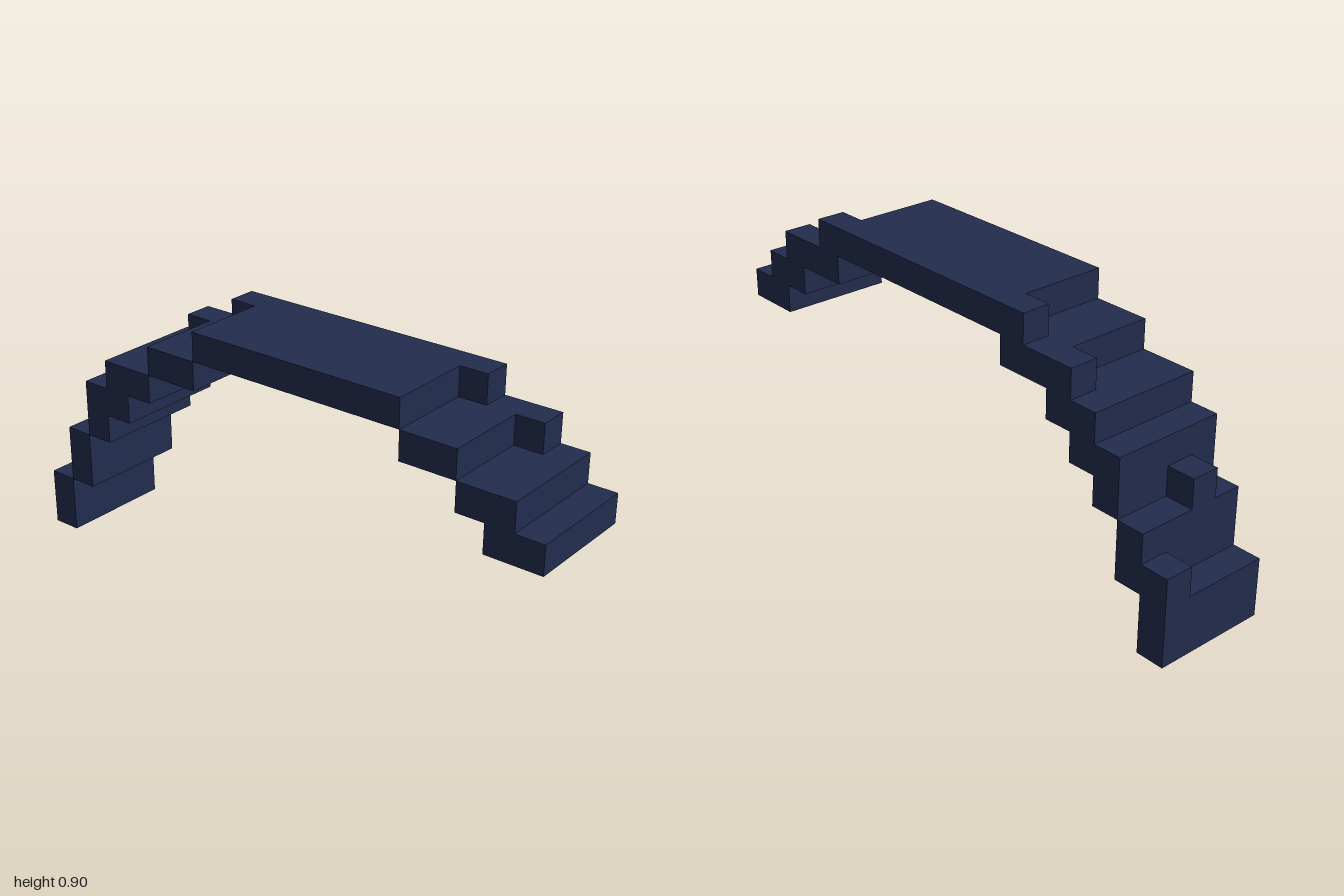
import * as THREE from 'three';

export function createModel() {
  const model = new THREE.Group();
  model.name = 'steppedArch';
  const navy = new THREE.MeshStandardMaterial({ color: 0x222c4d });
  navy.name = 'navy';

  // Box given by its limits along each axis
  function block(name, x0, x1, y0, y1, z0, z1) {
    const mesh = new THREE.Mesh(new THREE.BoxGeometry(x1 - x0, y1 - y0, z1 - z0), navy);
    mesh.position.set((x0 + x1) / 2, (y0 + y1) / 2, (z0 + z1) / 2);
    mesh.name = name;
    model.add(mesh);
  }

  // Full-depth steps along the arch: x0, x1, bottom, top
  const steps = [
    [-1, -0.9, 0, 0.2],
    [-0.9, -0.8, 0.2, 0.4],
    [-0.8, -0.7, 0.4, 0.6],
    [-0.7, -0.6, 0.5, 0.7],
    [-0.6, -0.5, 0.6, 0.7],
    [-0.5, -0.3, 0.7, 0.8],
    [-0.3, 0.5, 0.8, 0.9],
    [0.5, 0.7, 0.7, 0.8],
    [0.7, 0.8, 0.6, 0.7],
    [0.8, 0.9, 0.5, 0.7],
    [0.9, 1, 0.5, 0.6],
  ];
  steps.forEach(([x0, x1, y0, y1], i) => block(`step${i + 1}`, x0, x1, y0, y1, -0.2, 0.2));

  // Small cubes on top of the steps: x, y, z of the lowest corner
  const cubes = [
    [-1, 0.2, -0.2],
    [-0.9, 0.4, 0],
    [-0.6, 0.7, -0.2],
    [-0.4, 0.8, -0.2],
    [0.5, 0.8, -0.2],
    [0.7, 0.7, -0.2],
  ];
  cubes.forEach(([x, y, z], i) => block(`cornerCube${i + 1}`, x, x + 0.1, y, y + 0.1, z, z + 0.1));

  return model;
}
